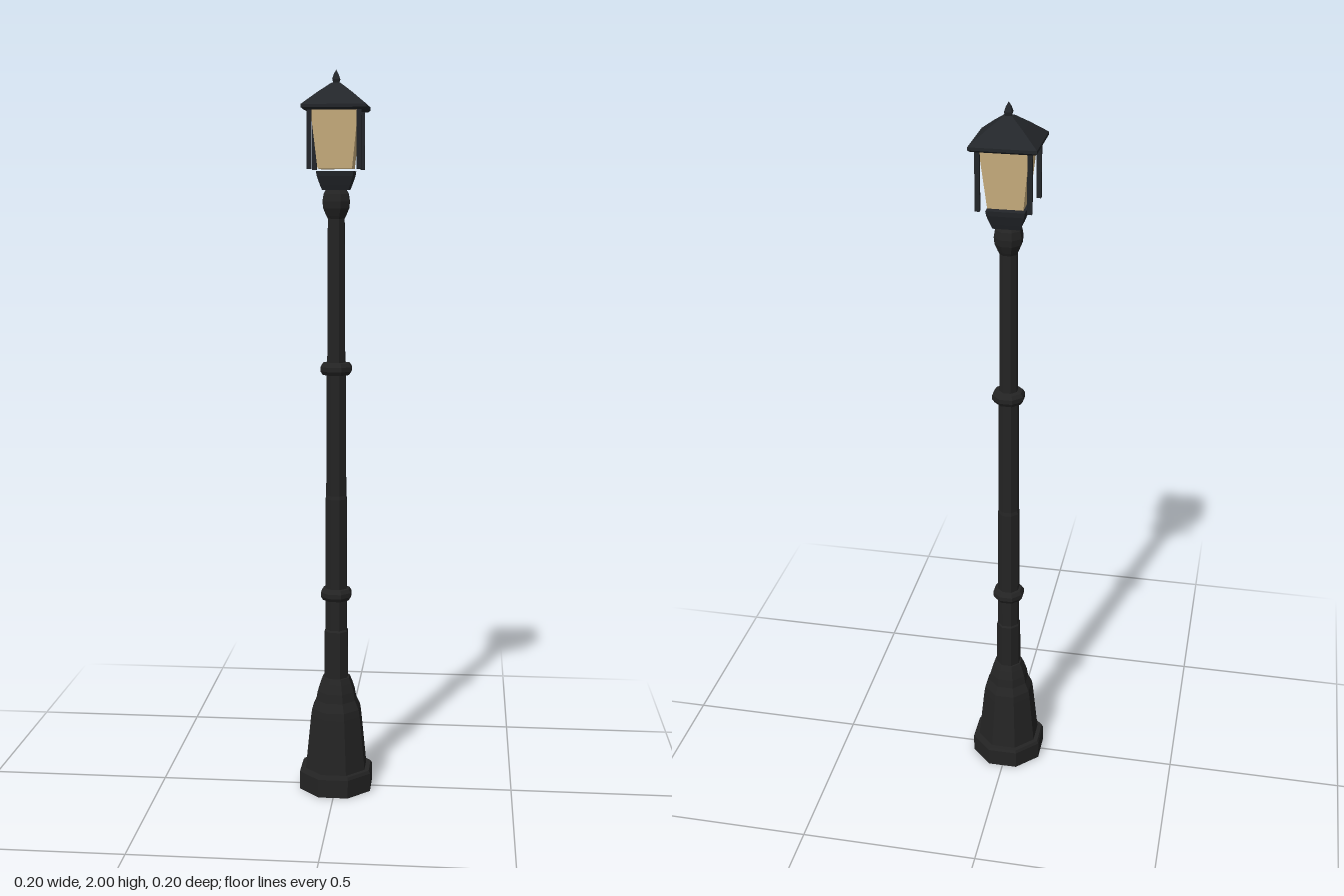
import * as THREE from 'three';

export function createModel() {
  const model = new THREE.Group();
  const mat = (name, color) => {
    const m = new THREE.MeshStandardMaterial({ color, flatShading: true });
    m.name = name;
    return m;
  };
  const iron = mat('black iron', 0x242424);
  const roofIron = mat('lantern iron', 0x23262a);
  const glass = mat('warm glass', 0xd0b482);

  // Faceted solid of revolution: points are [half width across flats, y]
  function turned(name, sides, points, material, parent = model) {
    const k = 1 / Math.cos(Math.PI / sides);
    const pts = points.map(([r, y]) => new THREE.Vector2(r * k, y));
    const mesh = new THREE.Mesh(
      new THREE.LatheGeometry(pts, sides, Math.PI / sides), material);
    mesh.name = name;
    parent.add(mesh);
    return mesh;
  }

  // Octagonal foot and bell-shaped pedestal
  turned('basePlinth', 8, [[0, 0], [0.1, 0], [0.1, 0.052], [0.096, 0.06], [0, 0.06]], iron);
  turned('pedestal', 8, [
    [0.084, 0.058], [0.069, 0.215], [0.066, 0.235], [0.055, 0.26],
    [0.051, 0.285], [0.043, 0.31], [0.037, 0.325], [0, 0.328],
  ], iron);

  // Tapering post in stepped sections
  turned('post', 8, [
    [0.033, 0.32], [0.032, 0.46], [0.029, 0.465], [0.029, 0.84],
    [0.027, 0.85], [0.026, 1.2], [0.024, 1.21], [0.022, 1.63],
  ], iron);

  // Rounded collars
  for (const [name, y] of [['lowerCollar', 0.567], ['upperCollar', 1.203]]) {
    turned(name, 8, [
      [0.024, y - 0.018], [0.036, y - 0.016], [0.042, y - 0.006],
      [0.042, y + 0.006], [0.036, y + 0.016], [0.022, y + 0.018],
    ], iron);
  }

  // Ball under the lantern
  turned('neckBall', 8, [
    [0.02, 1.605], [0.026, 1.617], [0.034, 1.637], [0.036, 1.655],
    [0.033, 1.675], [0.024, 1.692], [0, 1.695],
  ], iron);

  // Square lantern
  const lantern = new THREE.Group();
  lantern.name = 'lantern';
  model.add(lantern);

  turned('lanternCup', 4, [
    [0, 1.685], [0.035, 1.685], [0.04, 1.698], [0.048, 1.722], [0.05, 1.735], [0, 1.735],
  ], roofIron, lantern);
  turned('lanternGlass', 4, [[0, 1.741], [0.046, 1.741], [0.063, 1.896]], glass, lantern);

  // Upright bars at the four corners
  for (const sx of [-1, 1]) for (const sz of [-1, 1]) {
    const bar = new THREE.Mesh(new THREE.BoxGeometry(0.012, 0.16, 0.012), roofIron);
    bar.position.set(sx * 0.066, 1.82, sz * 0.066);
    bar.name = 'cornerBar';
    lantern.add(bar);
  }

  // Pyramid roof with a thin eave and a pointed finial
  turned('roof', 4, [
    [0, 1.893], [0.08, 1.893], [0.086, 1.898], [0.086, 1.906],
    [0.045, 1.94], [0.012, 1.965], [0, 1.967],
  ], roofIron, lantern);
  turned('finial', 4, [[0.006, 1.96], [0.01, 1.975], [0.006, 1.988], [0, 2]], roofIron, lantern);

  return model;
}
